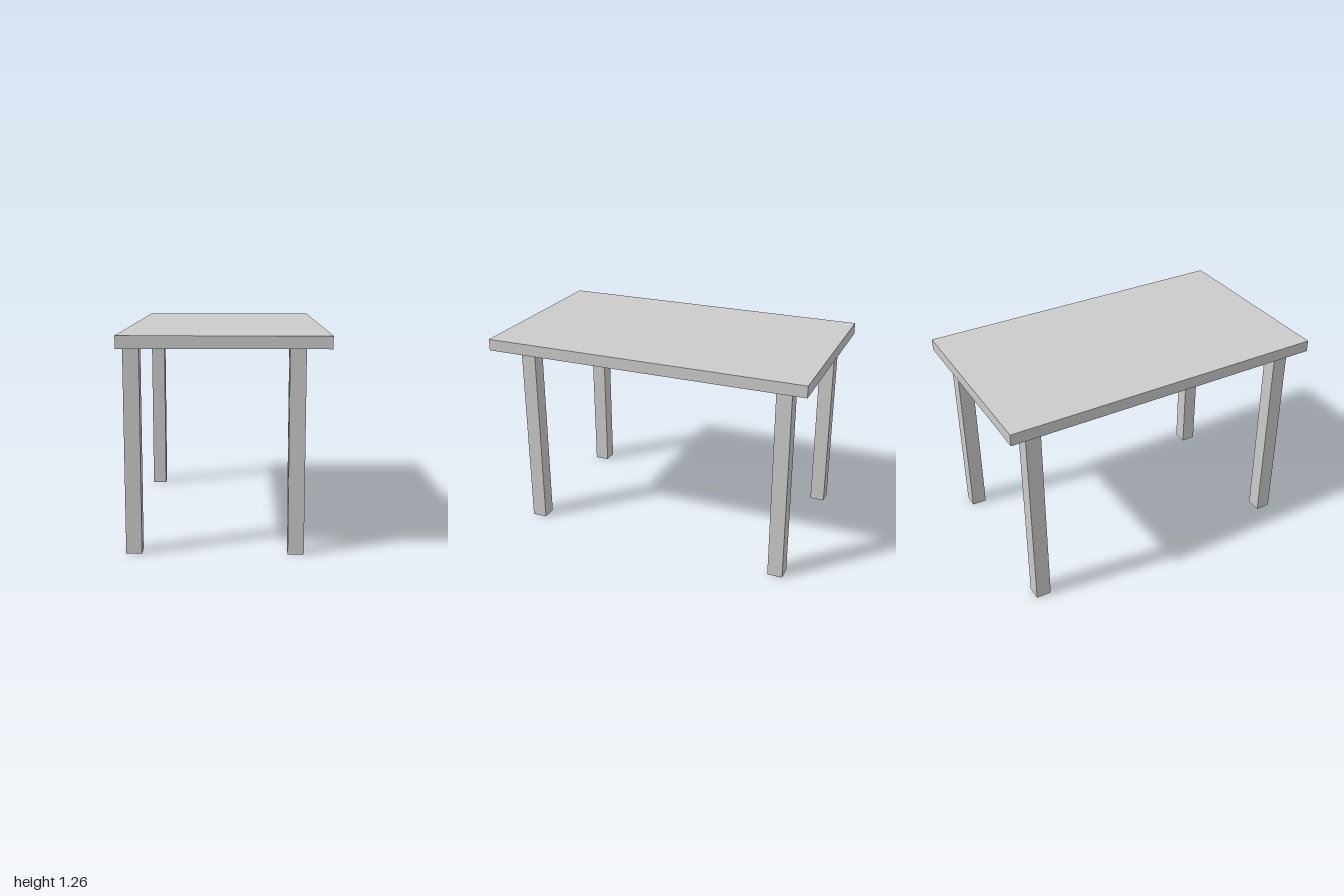
import * as THREE from 'three';

const material = new THREE.MeshStandardMaterial({ color: 0xcccccc, flatShading: true });

export function createModel() {
  const table = new THREE.Group();
  table.name = 'table';

  const legHeight = 1.193;
  const legWidth = 0.092;
  const topThickness = 0.071;

  function addBox(name, width, height, depth, x, bottom, z) {
    const mesh = new THREE.Mesh(new THREE.BoxGeometry(width, height, depth), material);
    mesh.name = name;
    mesh.position.set(x, bottom + height / 2, z);
    table.add(mesh);
  }

  // Table top slab
  addBox('tableTop', 1.171, topThickness, 2, 0, legHeight, 0);

  // Four square legs, the front left one set further in
  const legs = [
    ['frontRightLeg', -0.519, 0.81],
    ['frontLeftLeg', 0.409, 0.81],
    ['backRightLeg', -0.519, -0.861],
    ['backLeftLeg', 0.499, -0.861],
  ];
  for (const [name, x, z] of legs) addBox(name, legWidth, legHeight, legWidth, x, 0, z);

  return table;
}
